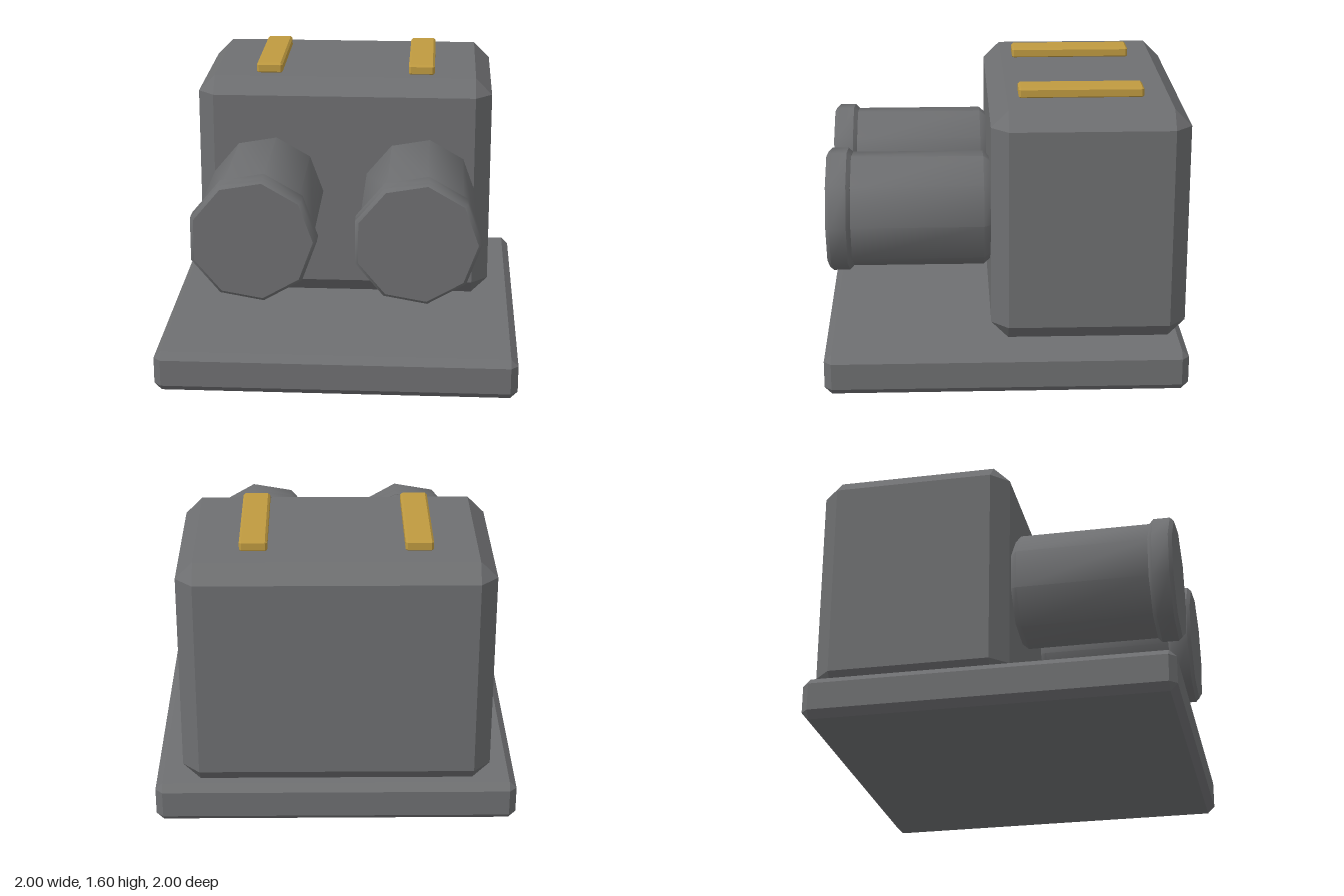
import * as THREE from 'three';
import { toCreasedNormals } from 'three/addons/utils/BufferGeometryUtils.js';
import { ConvexGeometry } from 'three/addons/geometries/ConvexGeometry.js';

const grey = new THREE.MeshStandardMaterial({ color: 0x6e6f71 });
grey.name = 'gunmetal grey';
const gold = new THREE.MeshStandardMaterial({ color: 0xbf9a40 });
gold.name = 'brass gold';

// Box with every edge cut at 45 degrees, given by its min and max corners
function chamferBox(name, min, max, cut, material) {
  const centre = min.map((v, i) => (v + max[i]) / 2);
  const half = min.map((v, i) => (max[i] - v) / 2);
  const points = [];
  for (const sx of [-1, 1]) for (const sy of [-1, 1]) for (const sz of [-1, 1]) {
    for (let face = 0; face < 3; face++) {
      const p = [sx, sy, sz].map((s, i) => s * (half[i] - (i === face ? 0 : cut)));
      points.push(new THREE.Vector3(...p));
    }
  }
  const mesh = new THREE.Mesh(new ConvexGeometry(points), material);
  mesh.name = name;
  mesh.position.set(...centre);
  return mesh;
}

// Nine-sided turned part along z; profile is [radius, z] from back to front
function turned(name, profile) {
  const points = profile.map(([r, z]) => new THREE.Vector2(r, z));
  const lathe = new THREE.LatheGeometry(points, 9, Math.PI / 2);
  lathe.rotateX(Math.PI / 2);
  const mesh = new THREE.Mesh(toCreasedNormals(lathe, 0.72), grey);
  mesh.name = name;
  return mesh;
}

function createBarrel(name, x) {
  const barrel = new THREE.Group();
  barrel.name = name;
  barrel.add(
    turned('tube', [[0, 0.07], [0.285, 0.07], [0.325, 0.115], [0.325, 0.87], [0, 0.87]]),
    turned('endCap', [[0, 0.845], [0.327, 0.845], [0.35, 0.868], [0.35, 0.96], [0.33, 0.98], [0, 0.98]])
  );
  barrel.position.set(x, 0.89, 0);
  return barrel;
}

export function createModel() {
  const model = new THREE.Group();
  model.name = 'twinBarrelTurret';

  // Base plate and housing
  model.add(chamferBox('basePlate', [-1, 0, -1], [1, 0.23, 1], 0.04, grey));
  model.add(chamferBox('housing', [-0.85, 0.23, -1], [0.845, 1.543, 0.08], 0.094, grey));

  // Barrels and roof strips
  model.add(createBarrel('rightBarrel', -0.445), createBarrel('leftBarrel', 0.437));
  for (const [name, x] of [['rightRoofStrip', -0.444], ['leftRoofStrip', 0.438]]) {
    model.add(chamferBox(name, [x - 0.075, 1.537, -0.768], [x + 0.075, 1.6, -0.08], 0.012, gold));
  }
  return model;
}
